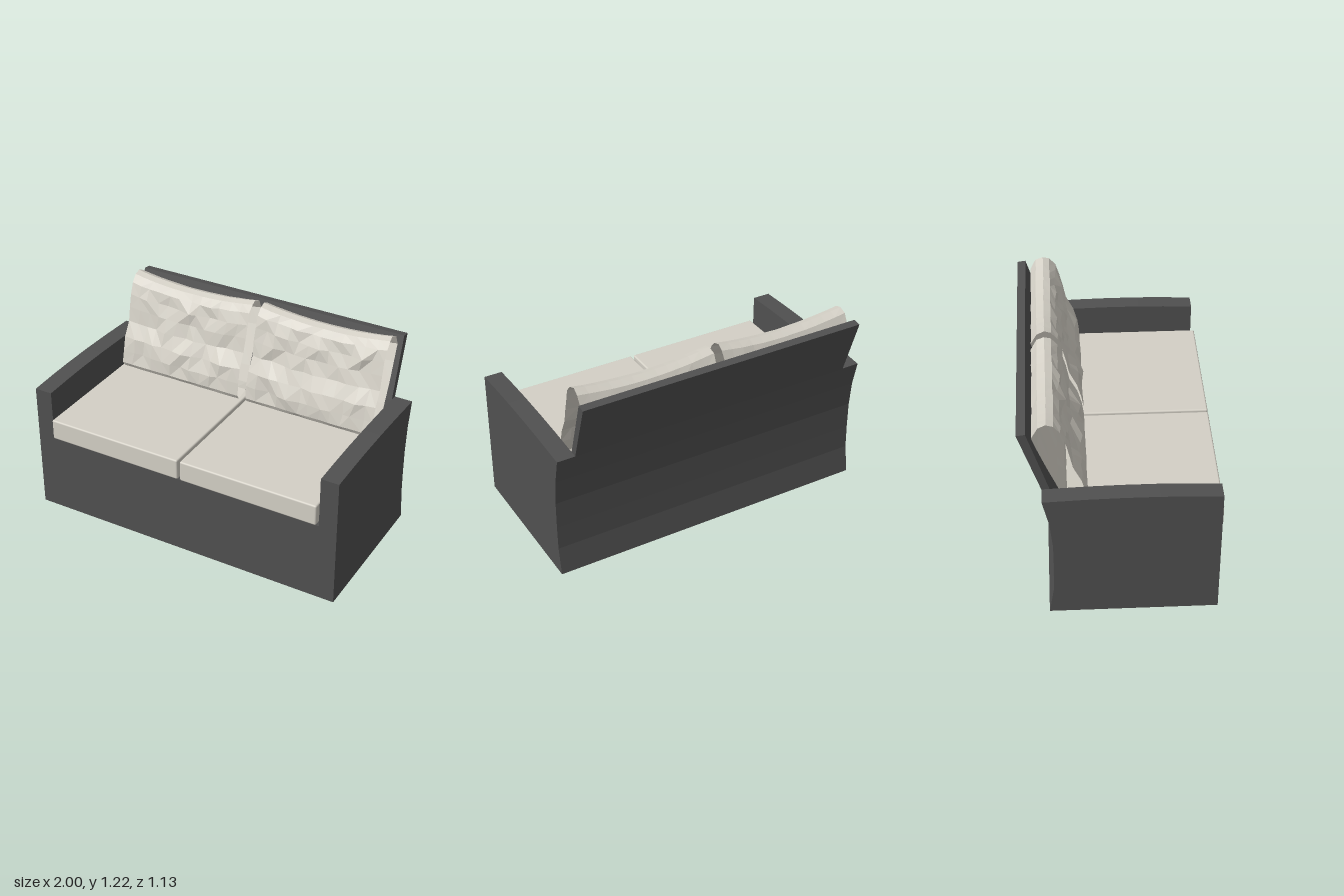
import * as THREE from 'three';
import { RoundedBoxGeometry } from 'three/addons/geometries/RoundedBoxGeometry.js';

const frameMat = new THREE.MeshStandardMaterial({ color: 0x505050 });
frameMat.name = 'charcoal frame';
const fabricMat = new THREE.MeshStandardMaterial({ color: 0xd4d0c6, side: THREE.DoubleSide });
fabricMat.name = 'cream fabric';

// Curved rear edge shared by arms and body, from top to floor, as [z, y]
const REAR = [[-0.44, 0.81], [-0.403, 0.65], [-0.387, 0.49], [-0.386, 0.32], [-0.39, 0.17], [-0.418, 0]];

// Extrude a [z, y] side profile across x, from x0 to x1
function sideExtrude(name, points, x0, x1) {
  const shape = new THREE.Shape(points.map(([z, y]) => new THREE.Vector2(z, y)));
  const geo = new THREE.ExtrudeGeometry(shape, { depth: x1 - x0, bevelEnabled: false });
  geo.rotateY(-Math.PI / 2).translate(x1, 0, 0);
  const mesh = new THREE.Mesh(geo, frameMat);
  mesh.name = name;
  return mesh;
}

function seeded(seed) {
  return () => {
    seed = (seed * 16807) % 2147483647;
    return seed / 2147483647;
  };
}

// Back cushion: a crumpled, tufted loop of fabric with open ends
const LOOP = [
  [-0.30, 0.655], [-0.20, 0.642], [-0.185, 0.67], [-0.195, 0.75], [-0.22, 0.84], [-0.265, 0.93],
  [-0.285, 1.02], [-0.305, 1.10], [-0.33, 1.17], [-0.365, 1.212], [-0.405, 1.224], [-0.45, 1.205],
  [-0.483, 1.14], [-0.45, 1.04], [-0.40, 0.92], [-0.35, 0.80], [-0.31, 0.70],
];

function backCushionGeometry(x0, x1, seed) {
  const rand = seeded(seed);
  const cols = 12, n = LOOP.length, rings = [];
  for (let i = 0; i <= cols; i++) {
    const t = i / cols, sag = 1 - (2 * t - 1) ** 2;
    const isEnd = i === 0 || i === cols;
    rings.push(LOOP.map(([z, y], j) => {
      const front = j >= 3 && j <= 8;
      // dimples in three columns and two rows, plus small creases
      const tuft = Math.cos(6 * Math.PI * t) * Math.cos((y - 0.75) * 2 * Math.PI / 0.22);
      const crease = rand() - 0.5;
      const dz = front && !isEnd ? 0.009 * tuft + 0.022 * crease : 0.004 * crease;
      const dx = front && !isEnd ? 0.03 * (rand() - 0.5) : 0;
      const lift = (y - 0.65) / 0.57;
      const inset = isEnd ? 0.008 * rand() * (i ? -1 : 1) : 0;
      return [x0 + (x1 - x0) * t + dx + inset, y - 0.036 * sag * lift, z + dz];
    }));
  }
  const pos = [];
  for (let i = 0; i < cols; i++) {
    for (let j = 0; j < n; j++) {
      const k = (j + 1) % n;
      const a = rings[i][j], b = rings[i][k], c = rings[i + 1][j], d = rings[i + 1][k];
      const tris = rand() < 0.5 ? [a, c, b, c, d, b] : [a, c, d, a, d, b];
      tris.forEach((p) => pos.push(...p));
    }
  }
  const geo = new THREE.BufferGeometry();
  geo.setAttribute('position', new THREE.Float32BufferAttribute(pos, 3));
  geo.computeVertexNormals(); // unshared corners give flat facets
  return geo;
}

export function createModel() {
  const sofa = new THREE.Group();
  sofa.name = 'sofa';

  // Seat base and leaning backrest in one profile
  sofa.add(sideExtrude('baseAndBackrest', [
    [0.54, 0], [0.54, 0.495], [-0.335, 0.495], [-0.35, 0.65], [-0.395, 0.81],
    [-0.514, 1.185], [-0.563, 1.178], ...REAR,
  ], -0.89, 0.89));

  // Arms with a gently crowned top
  const armProfile = [
    [0.54, 0], [0.54, 0.812], [0.36, 0.82], [0.2, 0.824], [0, 0.824], [-0.2, 0.82], ...REAR,
  ];
  sofa.add(sideExtrude('leftArm', armProfile, 0.89, 1));
  sofa.add(sideExtrude('rightArm', armProfile, -1, -0.89));

  // Seat and back cushions, one pair per side
  for (const [side, s] of [['left', 1], ['right', -1]]) {
    const seat = new THREE.Mesh(new RoundedBoxGeometry(0.873, 0.13, 0.885, 2, 0.01), fabricMat);
    seat.name = side + 'SeatCushion';
    seat.position.set(s * 0.4445, 0.574, 0.12);
    sofa.add(seat);

    const geo = s > 0 ? backCushionGeometry(0.02, 0.867, 71) : backCushionGeometry(-0.867, -0.03, 1234);
    const back = new THREE.Mesh(geo, fabricMat);
    back.name = side + 'BackCushion';
    sofa.add(back);
  }
  return sofa;
}
